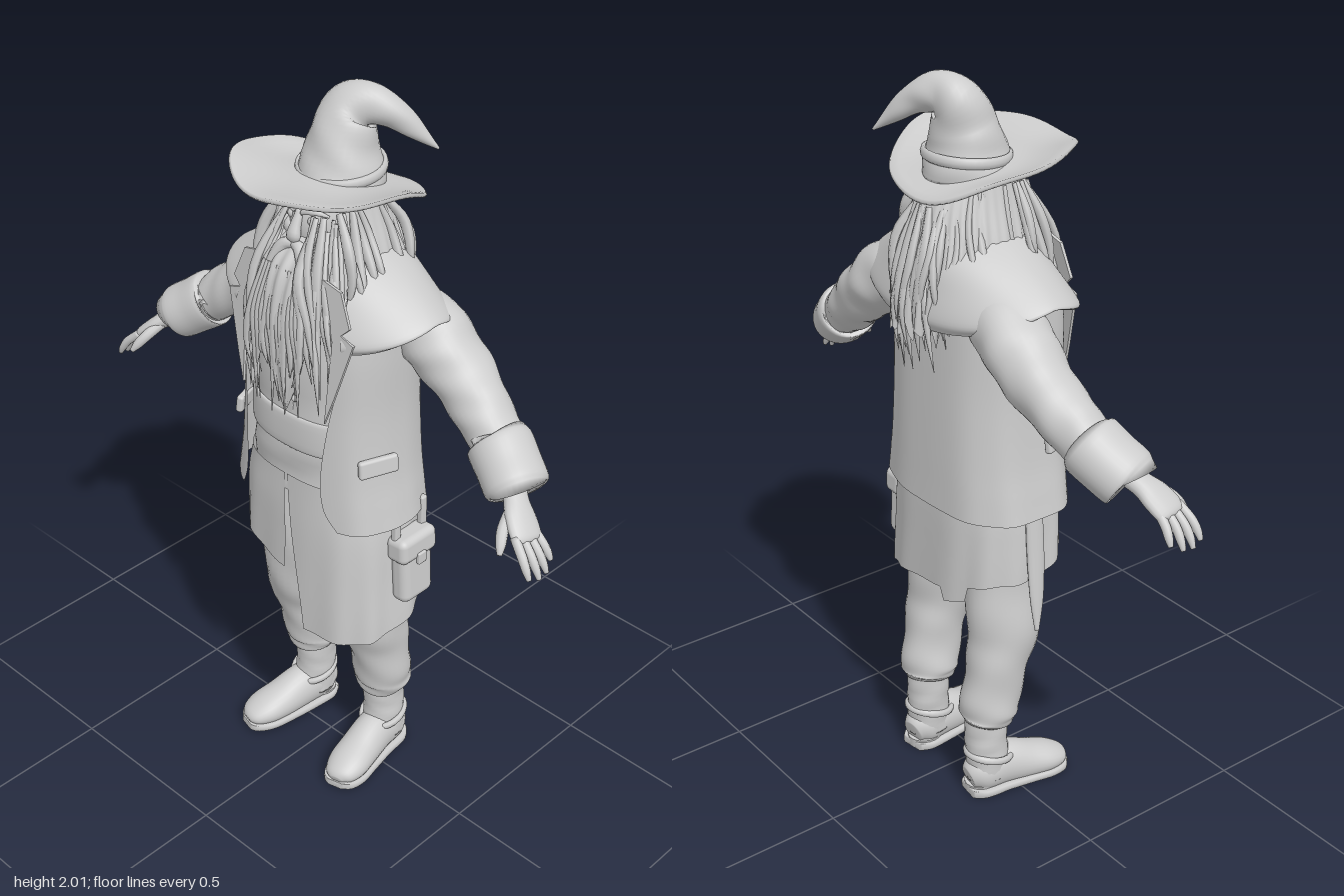
import * as THREE from 'three';
import { RoundedBoxGeometry } from 'three/addons/geometries/RoundedBoxGeometry.js';

const clay = new THREE.MeshStandardMaterial({ color: 0xcccccc, side: THREE.DoubleSide });
clay.name = 'light grey clay';

let seed = 7;
const rand = (a, b) => {
  seed = (seed * 16807) % 2147483647;
  return a + (b - a) * seed / 2147483647;
};

// Smooth interpolation through rows of numbers
function sample(rows, t) {
  const f = t * (rows.length - 1), i = Math.min(Math.floor(f), rows.length - 2), u = f - i;
  const row = k => rows[Math.max(0, Math.min(rows.length - 1, i + k))];
  return rows[0].map((_, c) => {
    const [a, b, d, e] = [row(-1)[c], row(0)[c], row(1)[c], row(2)[c]];
    return 0.5 * (2 * b + (d - a) * u + (2 * a - 5 * b + 4 * d - e) * u * u + (3 * b - a - 3 * d + e) * u ** 3);
  });
}

// Surface through rings of points
function grid(rings, closed) {
  const n = rings[0].length, index = [];
  for (let i = 0; i < rings.length - 1; i++) {
    for (let j = 0; j < (closed ? n : n - 1); j++) {
      const a = i * n + j, b = i * n + (j + 1) % n;
      index.push(a, a + n, b, a + n, b + n, b);
    }
  }
  const g = new THREE.BufferGeometry();
  g.setAttribute('position', new THREE.Float32BufferAttribute(rings.flat().flatMap(p => [p.x, p.y, p.z]), 3));
  g.setIndex(index);
  g.computeVertexNormals();
  return g;
}

// Upright shell, top down: rows of [y, cx, cz, rx, rz, frontEdge+x, frontEdge-x]
function shell(rows, { n = 64, steps = 24, p = 2.4, warp } = {}) {
  const open = rows[0].length > 5, rings = [];
  const edge = (x, rx) => Math.asin(Math.min(1, Math.max(0, x / rx)) ** (p / 2));
  const pow = v => Math.sign(v) * Math.abs(v) ** (2 / p);
  for (let i = 0; i <= steps; i++) {
    const [y, cx, cz, rx, rz, e0, e1] = sample(rows, i / steps), ring = [];
    const a0 = open ? edge(e0, rx) : 0, a1 = Math.PI * 2 - (open ? edge(e1, rx) : 0);
    for (let j = 0; j < n; j++) {
      const a = a0 + (a1 - a0) * j / (open ? n - 1 : n);
      const v = new THREE.Vector3(cx + rx * pow(Math.sin(a)), y, cz + rz * pow(Math.cos(a)));
      if (warp) warp(v, a, i / steps);
      ring.push(v);
    }
    rings.push(ring);
  }
  return grid(rings, !open);
}

// Swept body with capped ends: rows of [x, y, z, radius along ref, radius across]
function limb(rows, { ref = [0, 0, 1], n = 20, steps = 20, fold = 0, warp } = {}) {
  const up = new THREE.Vector3(...ref), at = t => new THREE.Vector3(...sample(rows, t).slice(0, 3));
  const rings = [];
  for (let i = 0; i <= steps; i++) {
    const t = i / steps, c = at(t), s = sample(rows, t), ring = [];
    const T = at(Math.min(1, t + 0.01)).sub(at(Math.max(0, t - 0.01))).normalize();
    const N = up.clone().addScaledVector(T, -up.dot(T)).normalize(), B = T.clone().cross(N);
    for (let j = 0; j < n; j++) {
      const a = -j / n * Math.PI * 2;
      const k = 1 + fold * Math.sin(t * 26 + 2 * Math.sin(a)) * Math.sin(a * 2 + t * 7);
      const v = c.clone().addScaledVector(N, Math.cos(a) * s[3] * k).addScaledVector(B, Math.sin(a) * s[4] * k);
      if (warp) warp(v);
      ring.push(v);
    }
    if (i === 0) rings.push(ring.map(() => c.clone()));
    rings.push(ring);
    if (i === steps) rings.push(ring.map(() => c.clone()));
  }
  if (warp) for (const r of [rings[0], rings[rings.length - 1]]) r.forEach(warp);
  const g = grid(rings, true);
  return g;
}

export function createModel() {
  const model = new THREE.Group();
  model.name = 'robed wanderer';
  const add = (name, geometry, pos = [0, 0, 0], rot = [0, 0, 0], scale = [1, 1, 1]) => {
    const m = new THREE.Mesh(geometry, clay);
    m.name = name;
    m.position.set(...pos); m.rotation.set(...rot); m.scale.set(...scale);
    model.add(m);
    return m;
  };

  // Hat: bent crown, band and saddle-shaped brim
  add('hatCrown', limb([[0, 1.765, -0.03, 0.118, 0.118], [0, 1.82, -0.035, 0.102, 0.102], [0, 1.88, -0.045, 0.082, 0.084],
    [0.002, 1.935, -0.065, 0.066, 0.072], [0.035, 1.955, -0.088, 0.05, 0.054], [0.082, 1.94, -0.118, 0.038, 0.04],
    [0.125, 1.9, -0.15, 0.026, 0.026], [0.172, 1.85, -0.19, 0.003, 0.003]], { n: 32, steps: 40, fold: 0.04 }));
  add('hatBand', new THREE.TorusGeometry(0.106, 0.008, 8, 40), [0, 1.805, -0.034], [Math.PI / 2 + 0.08, 0, 0], [1, 1, 1.8]);
  const brim = [];
  for (const [k, dy] of [[0, 0.008], [0.25, 0.005], [0.5, 0.004], [0.75, 0.005], [0.97, 0.006], [1, 0], [0.97, -0.006], [0.6, -0.008], [0, -0.008]]) {
    brim.push(Array.from({ length: 72 }, (_, j) => {
      const a = j / 72 * Math.PI * 2, s = Math.sin(a), c = Math.cos(a);
      const inner = 1.778 + 0.022 * c, outer = 1.768 + 0.045 * c + 0.055 * s * s + 0.006 * Math.sin(5 * a);
      return new THREE.Vector3(s * (0.095 + 0.153 * k) + 0.012 * k, inner + (outer - inner) * k ** 1.5 + dy, -0.03 + 0.055 * k + c * (0.095 + 0.128 * k));
    }));
  }
  add('hatBrim', grid(brim, true));

  // Head and face
  add('head', new THREE.SphereGeometry(1, 32, 24), [0, 1.69, 0.005], [0, 0, 0], [0.085, 0.125, 0.11]);
  add('neck', new THREE.CylinderGeometry(0.065, 0.08, 0.16, 20), [0, 1.57, -0.02]);
  add('nose', limb([[0, 1.735, 0.105, 0.01, 0.01], [0, 1.7, 0.122, 0.013, 0.014], [0, 1.672, 0.13, 0.016, 0.02], [0, 1.66, 0.12, 0.006, 0.01]], { n: 14, steps: 10 }));
  for (const s of [1, -1]) {
    add('eye', new THREE.SphereGeometry(0.013, 14, 10), [s * 0.034, 1.712, 0.098]);
    add('eyebrow', limb([[s * 0.012, 1.732, 0.114, 0.006, 0.006], [s * 0.04, 1.742, 0.106, 0.009, 0.009], [s * 0.07, 1.728, 0.078, 0.003, 0.003]], { n: 8, steps: 8, ref: [0, 1, 0] }));
    add('cheek', new THREE.SphereGeometry(0.025, 14, 10), [s * 0.045, 1.672, 0.087]);
    add('moustache', limb([[0, 1.652, 0.128, 0.012, 0.012], [s * 0.03, 1.642, 0.135, 0.017, 0.017], [s * 0.055, 1.59, 0.155, 0.014, 0.014],
      [s * 0.062, 1.52, 0.185, 0.002, 0.002]], { n: 10, steps: 14 }));
  }

  // Beard with furrows
  add('beard', shell([[1.675, 0, 0.07, 0.07, 0.035], [1.6, 0, 0.105, 0.088, 0.068], [1.5, 0, 0.145, 0.084, 0.055],
    [1.4, 0.002, 0.165, 0.066, 0.04], [1.3, 0.008, 0.172, 0.04, 0.026], [1.21, 0.015, 0.18, 0.003, 0.003]], {
    n: 90, steps: 36, p: 2, warp: (v, a, t) => { v.z += 0.006 * Math.sin(15 * a + 5 * t) * Math.min(1, t * 4) * (1 - t); },
  }));

  // Long hair: a furrowed shell open at the face, then loose locks
  add('hair', shell([[1.79, 0, -0.025, 0.092, 0.105, 0.085, 0.085], [1.7, 0, -0.03, 0.115, 0.14, 0.085, 0.085],
    [1.6, 0, -0.035, 0.145, 0.165, 0.09, 0.09], [1.5, 0, -0.04, 0.165, 0.188, 0.1, 0.1], [1.4, 0, -0.045, 0.16, 0.19, 0.11, 0.11]], {
    n: 140, steps: 24, p: 2, warp: (v, a, t) => {
      const k = 1 + 0.035 * t * Math.sin(34 * a + 4 * t);
      v.x *= k; v.z *= k;
      v.y += t * t * 0.05 * Math.sin(23 * a) * Math.sin(7 * a + 1);
    },
  }));
  const lock = (name, a, spread, top, end, r) => {
    const s = Math.sin(a), c = Math.cos(a), w = rand(-0.02, 0.02), back = c < -0.2;
    const pts = [0, 0.3, 0.65, 1].map((t, i) => [
      s * (0.1 + spread * Math.min(1, t * 1.5)) + w * Math.sin(t * 5), top + (end - top) * t,
      (back ? -0.03 : 0.02) + c * (back ? [0.13, 0.175, 0.205, 0.185] : [0.1, 0.17, 0.19, 0.185])[i] + rand(-0.01, 0.012),
      [0.6, 1, 0.8, 0.08][i] * r, [0.8, 1.4, 1, 0.08][i] * r]);
    add(name, limb(pts, { n: 6, steps: 14 }));
  };
  for (const s of [1, -1]) {
    for (let i = 0; i < 16; i++) lock('frontLock', s * (0.5 + i * 0.038), rand(0.04, 0.1), rand(1.66, 1.74), rand(1.2, 1.38), rand(0.007, 0.012));
    for (let i = 0; i < 8; i++) lock('sideLock', s * (1.15 + i * 0.13), rand(0.04, 0.085), 1.74, rand(1.42, 1.52), rand(0.008, 0.012));
  }
  for (let i = 0; i < 26; i++) {
    const a = Math.PI + (i - 12.5) * 0.066;
    lock('backLock', a, rand(0.04, 0.08), 1.7, rand(1.24, 1.36) + 0.12 * Math.abs(Math.sin(a)), rand(0.008, 0.013));
  }
  for (let i = 0; i < 14; i++) {
    const x = (i - 6.5) * 0.012, e = rand(1.19, 1.36);
    add('beardLock', limb([[x * 0.8, 1.6, 0.165, 0.006, 0.008], [x * 1.1, 1.48, 0.195, 0.008, 0.011],
      [x * 1.2 + rand(-0.015, 0.015), 1.38, 0.2, 0.006, 0.009], [x + rand(-0.02, 0.02), e, 0.195, 0.001, 0.001]], { n: 6, steps: 12 }));
  }

  // Waistcoat, sash and buttons
  add('waistcoat', shell([[1.58, 0, -0.02, 0.08, 0.08], [1.52, 0, -0.01, 0.18, 0.13], [1.4, 0, 0, 0.2, 0.155],
    [1.2, 0, 0, 0.2, 0.163], [1.08, 0, 0, 0.205, 0.165], [0.95, 0, 0, 0.215, 0.165]], {
    warp: (v, a, t) => { v.z += Math.cos(a) > 0.3 ? 0.004 * Math.sin(t * 40 + 3 * Math.sin(a)) * t : 0; },
  }));
  add('sash', shell([[1.19, 0, 0, 0.203, 0.163], [1.18, 0, 0, 0.21, 0.172], [1.1, 0, 0, 0.212, 0.174], [1.09, 0, 0, 0.205, 0.163]], { steps: 12 }));
  add('placket', new RoundedBoxGeometry(0.022, 0.3, 0.014, 2, 0.005), [0.012, 1.34, 0.155]);
  for (let i = 0; i < 4; i++) add('button', new THREE.SphereGeometry(0.009, 10, 8), [0.03, 1.24 + i * 0.07, 0.162]);

  // Split skirt with an uneven hem
  const hem = [[0.515], [0.515], [0.545], [0.6], [0.64], [0.69], [0.7], [0.73], [0.695]];
  add('skirt', shell([[1.0, 0, 0, 0.21, 0.168, 0.004, 0.004], [0.85, 0.003, 0, 0.232, 0.172, 0.016, 0.006], [0.7, 0.006, 0, 0.242, 0.172, 0.035, 0.006], [0.5, 0.01, 0, 0.25, 0.172, 0.05, 0.015]], {
    n: 120, steps: 24, p: 2.7, warp: (v, a, t) => {
      const h = sample(hem, a / (Math.PI * 2))[0] - (a > 3.35 && a < 3.7 ? 0.04 : 0);
      v.y = 1 - t * (1 - h);
      const k = 1 + 0.018 * t * Math.sin(11 * a + 2 * t);
      v.x *= k; v.z *= k;
    },
  }));

  // Open coat and its shoulder cape
  add('coat', shell([[1.57, 0, -0.02, 0.13, 0.12, 0.11, 0.11], [1.5, 0, -0.01, 0.225, 0.155, 0.17, 0.17], [1.4, 0, 0, 0.235, 0.172, 0.18, 0.175],
    [1.22, 0, 0, 0.232, 0.177, 0.145, 0.155], [1.05, 0, 0, 0.243, 0.18, 0.125, 0.145], [0.95, 0, 0, 0.258, 0.181, 0.135, 0.145], [0.89, 0, 0, 0.268, 0.182, 0.175, 0.165]], {
    n: 90, steps: 32, p: 2.7, warp: (v, a, t) => { const k = 1 + 0.01 * t * Math.sin(9 * a); v.x *= k; v.z *= k; },
  }));
  add('shoulderCape', shell([[1.635, 0, -0.03, 0.1, 0.11, 0.09, 0.09], [1.595, 0, -0.03, 0.185, 0.155, 0.14, 0.14],
    [1.55, 0, -0.025, 0.265, 0.18, 0.165, 0.165], [1.505, 0, -0.02, 0.332, 0.2, 0.18, 0.18], [1.495, 0, -0.02, 0.322, 0.19, 0.18, 0.18]], {
    n: 90, p: 2.2, warp: (v, a, t) => { v.y -= t * 0.09 * Math.abs(Math.cos(a)) ** 1.2; },
  }));

  for (const s of [1, -1]) {
    // Lapel and pocket flap
    const lapel = new THREE.Shape([[0.1, 1.6], [0.165, 1.585], [0.2, 1.5], [0.175, 1.475], [0.215, 1.46], [0.17, 1.3], [0.145, 1.22], [0.15, 1.45]]
      .map(([x, y]) => new THREE.Vector2(s * x, y - 1.4)));
    add('lapel', new THREE.ExtrudeGeometry(lapel, { depth: 0.008, bevelEnabled: false }), [s * 0.0, 1.4, 0.158], [-0.1, s * 0.06, 0]);
    add('pocketFlap', new RoundedBoxGeometry(0.02, 0.05, 0.11, 2, 0.008), [s * 0.238, 1.09, 0.075], [0, s * -0.35, s * 0.12]);

    // Sleeve and turned-back cuff
    add('sleeve', limb([[s * 0.17, 1.46, -0.075, 0.085, 0.07], [s * 0.25, 1.425, -0.09, 0.095, 0.09], [s * 0.33, 1.365, -0.092, 0.09, 0.083],
      [s * 0.42, 1.295, -0.082, 0.078, 0.075], [s * 0.5, 1.235, -0.062, 0.07, 0.067], [s * 0.58, 1.18, -0.035, 0.065, 0.06]], { n: 32, steps: 40, fold: 0.05 }));
    add('cuff', limb([[s * 0.508, 1.23, -0.06, 0.07, 0.066], [s * 0.514, 1.226, -0.058, 0.085, 0.08], [s * 0.56, 1.193, -0.04, 0.085, 0.078],
      [s * 0.605, 1.163, -0.02, 0.084, 0.076], [s * 0.612, 1.158, -0.017, 0.07, 0.064]], { n: 32, steps: 16 }));

    // Hand
    add('palm', limb([[s * 0.585, 1.178, -0.025, 0.032, 0.027], [s * 0.625, 1.147, 0.006, 0.034, 0.024], [s * 0.655, 1.122, 0.025, 0.044, 0.022],
      [s * 0.69, 1.09, 0.042, 0.045, 0.018], [s * 0.7, 1.08, 0.046, 0.03, 0.01]], { n: 18 }));
    for (let i = 0; i < 4; i++) {
      const k = i - 1.5, len = [0.9, 1, 0.97, 0.8][i], z = 0.042 - k * 0.021;
      add('finger', limb([[s * 0.68, 1.098, z, 0.012, 0.012], [s * (0.68 + 0.04 * len), 1.098 - 0.036 * len, z + 0.006 - k * 0.005, 0.012, 0.012],
        [s * (0.68 + 0.062 * len), 1.098 - 0.066 * len, z + 0.007 - k * 0.008, 0.0105, 0.0105], [s * (0.68 + 0.074 * len), 1.098 - 0.09 * len, z + 0.007 - k * 0.009, 0.006, 0.006]], { n: 10, steps: 12 }));
    }
    add('thumb', limb([[s * 0.632, 1.135, 0.03, 0.016, 0.016], [s * 0.645, 1.108, 0.075, 0.015, 0.015], [s * 0.66, 1.082, 0.1, 0.013, 0.013], [s * 0.67, 1.062, 0.115, 0.006, 0.006]], { n: 10, steps: 12 }));

    // Trouser leg gathered over the boot
    add('trouserLeg', limb([[s * 0.11, 0.95, 0, 0.12, 0.1], [s * 0.118, 0.7, -0.005, 0.118, 0.1], [s * 0.138, 0.52, -0.02, 0.103, 0.09], [s * 0.142, 0.4, -0.043, 0.088, 0.078],
      [s * 0.138, 0.29, -0.066, 0.083, 0.08], [s * 0.136, 0.25, -0.07, 0.08, 0.077], [s * 0.134, 0.23, -0.073, 0.068, 0.062]], { n: 32, steps: 48, fold: 0.045 }));

    // Boot with shaft, foot, sole and heel
    add('bootShaft', limb([[s * 0.135, 0.3, -0.075, 0.062, 0.055], [s * 0.135, 0.2, -0.076, 0.062, 0.054], [s * 0.138, 0.12, -0.075, 0.062, 0.055], [s * 0.14, 0.05, -0.07, 0.066, 0.055]], { n: 24, fold: 0.03 }));
    add('ankleStrap', new THREE.TorusGeometry(0.058, 0.008, 8, 28), [s * 0.14, 0.115, -0.07], [Math.PI / 2 + 0.25, 0, 0], [1, 1.15, 1.4]);
    const foot = [[s * 0.133, 0.05, -0.135, 0.035, 0.03], [s * 0.138, 0.06, -0.1, 0.06, 0.052], [s * 0.145, 0.065, -0.03, 0.068, 0.055],
      [s * 0.158, 0.05, 0.05, 0.055, 0.058], [s * 0.17, 0.042, 0.11, 0.042, 0.058], [s * 0.178, 0.035, 0.152, 0.026, 0.042], [s * 0.182, 0.03, 0.168, 0.01, 0.018]];
    add('bootFoot', limb(foot, { ref: [0, 1, 0], n: 28, steps: 32, warp: v => { v.y = Math.max(v.y, 0.015); } }));
    add('bootSole', limb(foot.map(([x, , z, , r]) => [x, 0.014, z * 1.02, 0.04, r + 0.005]), {
      ref: [0, 1, 0], n: 28, steps: 32, warp: v => { v.y = Math.min(0.024, Math.max(v.z > -0.05 ? 0.004 : 0, v.y)); },
    }));
    add('bootHeel', new THREE.CylinderGeometry(0.046, 0.044, 0.03, 24), [s * 0.136, 0.015, -0.09], [0, 0, 0], [1, 1, 1.1]);
  }

  // Belt pouch on the left hip
  add('pouchBody', new RoundedBoxGeometry(0.06, 0.19, 0.115, 4, 0.024), [0.262, 0.73, -0.035], [0, 0, 0.06]);
  add('pouchFlap', new RoundedBoxGeometry(0.07, 0.075, 0.135, 4, 0.02), [0.26, 0.805, -0.035], [0, 0, 0.06]);
  for (const z of [0.015, -0.085]) add('pouchStrap', new RoundedBoxGeometry(0.02, 0.13, 0.022, 2, 0.006), [0.25, 0.86, z]);
  add('pouchBuckle', new RoundedBoxGeometry(0.012, 0.035, 0.03, 2, 0.004), [0.297, 0.775, -0.035]);

  // Sheathed knife on the right hip
  add('sheath', limb([[-0.235, 0.92, 0, 0.026, 0.012], [-0.245, 0.8, 0, 0.028, 0.013], [-0.26, 0.66, -0.005, 0.022, 0.011], [-0.272, 0.56, -0.012, 0.006, 0.006]], { n: 14 }));
  return model;
}
